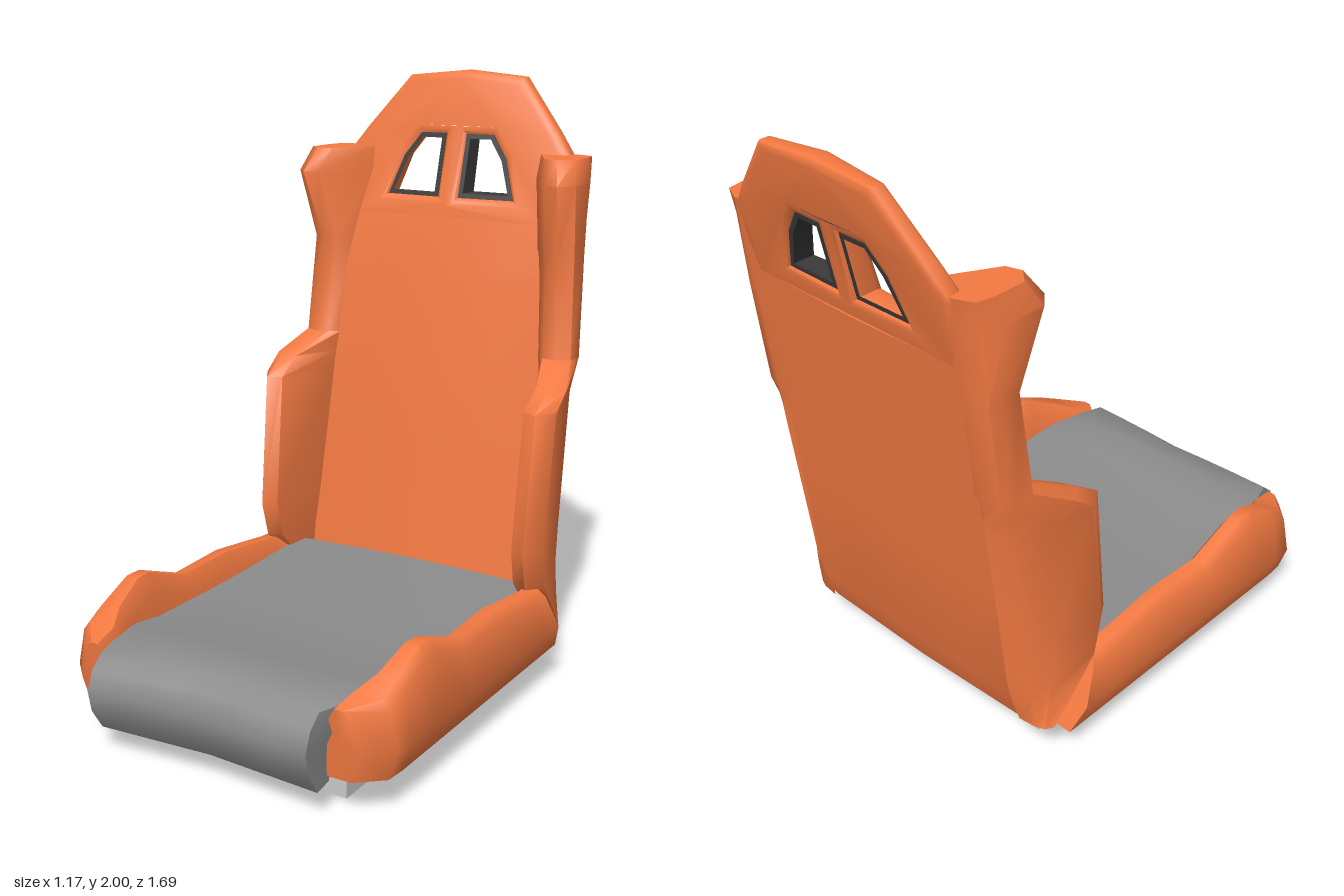
import * as THREE from 'three';
import { toCreasedNormals } from 'three/addons/utils/BufferGeometryUtils.js';

const orange = new THREE.MeshStandardMaterial({ color: 0xf47a42 });
const grey = new THREE.MeshStandardMaterial({ color: 0x8c8c8c });
const dark = new THREE.MeshStandardMaterial({ color: 0x3a3a3a });
const metal = new THREE.MeshStandardMaterial({ color: 0xcccccc });

// Closed skin over rings of [x, y, z], each ring counter-clockwise seen from the last ring
function loft(rows, crease = 0.9) {
  const n = rows[0].length, pos = rows.flat(2), index = [];
  for (let i = 0; i < rows.length - 1; i++)
    for (let j = 0; j < n; j++) {
      const a = i * n + j, b = i * n + (j + 1) % n;
      index.push(a, b, b + n, a, b + n, a + n);
    }
  [0, rows.length - 1].forEach((r, end) => {
    const c = pos.length / 3;
    for (let k = 0; k < 3; k++) pos.push(rows[r].reduce((s, p) => s + p[k], 0) / n);
    for (let j = 0; j < n; j++) {
      const a = r * n + j, b = r * n + (j + 1) % n;
      index.push(c, ...(end ? [a, b] : [b, a]));
    }
  });
  const g = new THREE.BufferGeometry();
  g.setAttribute('position', new THREE.Float32BufferAttribute(pos, 3));
  g.setIndex(index);
  return toCreasedNormals(g, crease);
}

const mirrorRows = rows => rows.map(r => r.map(([x, y, z]) => [-x, y, z]).reverse());
const toPoints = list => list.map(([x, y]) => new THREE.Vector2(x, y));

// Moves every vertex by a rule
function warp(g, rule) {
  const p = g.attributes.position;
  for (let i = 0; i < p.count; i++) p.setXYZ(i, ...rule(p.getX(i), p.getY(i), p.getZ(i)));
  return toCreasedNormals(g, 0.7);
}

// Front and back surfaces of the reclined backrest
const frontZ = y => (y < 1.3 ? -0.455 - 0.139 * (y - 0.33) : -0.59 - 0.2 * (y - 1.3) - 0.08 * Math.max(0, y - 1.5));
const backZ = y => (y < 0.28 ? -0.545 - 0.375 * (y - 0.16) : -0.59 - 0.127 * (y - 0.28));

export function createModel() {
  const group = new THREE.Group();
  const add = (name, geometry, material) => {
    const mesh = new THREE.Mesh(geometry, material);
    mesh.name = name;
    group.add(mesh);
    return mesh;
  };
  const box = (name, x, y, z, w, h, d, material) =>
    add(name, new THREE.BoxGeometry(w, h, d).translate(x, y, z), material);
  const pair = (name, rows) => {
    add('left' + name, loft(rows), orange);
    add('right' + name, loft(mirrorRows(rows)), orange);
  };

  // Backrest panel, with a shallow V crease below the head section
  const across = [-1, -0.5, 0, 0.5, 1];
  const panelRows = [0.16, 0.28, 0.75, 1.29, 1.5].map(y => {
    const lift = y === 1.29 ? 0.045 : 0;
    const w = 0.44;
    const front = across.map(t => [t * w, y + lift * Math.abs(t), frontZ(y) - 0.03 * Math.abs(t)]);
    const back = across.map(t => [-t * w, y, backZ(y) + 0.01 * Math.abs(t)]);
    return [...front, ...back];
  });
  add('backrestPanel', loft(panelRows, 0.6), orange);

  // Head section with two belt openings
  const half = [[0.43, 1.46], [0.43, 1.72], [0.37, 1.8], [0.22, 1.98]];
  const headShape = new THREE.Shape(toPoints([...half, [0, 2], ...half.map(([x, y]) => [-x, y]).reverse()]));
  const opening = (s, e) => toPoints([
    [0.055 - e, 1.587 - e], [0.222 + e * 1.3, 1.587 - e], [0.182 + e, 1.7 + e * 0.4],
    [0.132 + e * 0.5, 1.77 + e], [0.055 - e, 1.77 + e],
  ].map(([x, y]) => [s * x, y]));
  for (const s of [-1, 1]) headShape.holes.push(new THREE.Path(opening(s, 0.012)));
  const lean = (x, y, t) => {
    const a = Math.abs(x) / 0.44;
    const f = -0.63 - 0.28 * (y - 1.5) - 0.03 * a, b = -0.745 - 0.21 * (y - 1.5) + 0.01 * a;
    return [x, y, b + (f - b) * t];
  };
  const head = new THREE.ExtrudeGeometry(headShape, {
    depth: 0.5, bevelThickness: 0.25, bevelSize: 0.03, bevelOffset: -0.03, bevelSegments: 3, steps: 1,
  });
  add('headrest', warp(head, (x, y, z) => lean(x, y, z + 0.25)), orange);

  // Dark trims lining the openings
  for (const s of [-1, 1]) {
    const trim = new THREE.Shape(opening(s, 0.016));
    trim.holes.push(new THREE.Path(opening(s, 0)));
    const g = new THREE.ExtrudeGeometry(trim, { depth: 0.8, bevelEnabled: false });
    add(s > 0 ? 'leftOpeningTrim' : 'rightOpeningTrim', warp(g, (x, y, z) => lean(x, y, z + 0.1)), dark);
  }

  // Backrest side bolsters: height, inner x, outer x, front z, back z
  pair('BackBolster', [
    [0.16, 0.46, 0.54, -0.49, -0.545],
    [0.28, 0.45, 0.55, -0.36, -0.585],
    [0.36, 0.44, 0.555, -0.28, -0.6],
    [0.48, 0.43, 0.558, -0.25, -0.615],
    [0.94, 0.405, 0.565, -0.3, -0.675],
    [1.0, 0.4, 0.565, -0.39, -0.682],
    [1.07, 0.39, 0.52, -0.545, -0.69],
    [1.41, 0.355, 0.505, -0.58, -0.73],
    [1.65, 0.315, 0.53, -0.49, -0.765],
    [1.73, 0.32, 0.505, -0.545, -0.775],
  ].map(([y, xi, xo, zf, zb]) => {
    const d = zf - zb, inner = Math.min(frontZ(y) - 0.03, zf - d * 0.3);
    return [
      [xi, y, inner],
      [xo - 0.095, y, zf - d * 0.06],
      [xo - 0.045, y, zf],
      [xo, y, zf - d * 0.18],
      [Math.min(xo, 0.525), y, zb + d * 0.35],
      [0.495, y, zb + d * 0.12],
      [0.435, y, zb],
      [xi - 0.01, y, zb + d * 0.1],
    ];
  }));

  // Seat side bolsters: z, top height, inner x, outer x, slope of the end face
  pair('SeatBolster', [
    [-0.445, 0.345, 0.455, 0.585, 0.49],
    [-0.3, 0.348, 0.46, 0.585, 0.1],
    [0, 0.38, 0.46, 0.585, 0],
    [0.23, 0.37, 0.46, 0.585, 0],
    [0.42, 0.44, 0.46, 0.585, 0],
    [0.48, 0.44, 0.455, 0.585, 0],
    [0.6, 0.385, 0.435, 0.585, 0],
    [0.67, 0.35, 0.4, 0.58, 0],
    [0.74, 0.33, 0.39, 0.5, 0.08],
  ].map(([z, top, xi, xo, slope]) => [
    [xi, 0.11], [xo - 0.03, 0.11], [xo, 0.2], [xo - 0.025, top - 0.03],
    [xo - 0.05, top], [xi + 0.035, top], [xi, top - 0.06],
  ].map(([x, y]) => [x, y, z + slope * (y - 0.11)])));

  // Seat pan with front and rear cross members
  box('seatPan', 0, 0.185, 0.13, 0.94, 0.11, 1.12, orange);
  box('rearCrossMember', 0, 0.19, -0.43, 0.94, 0.16, 0.04, orange);
  box('frontCrossMember', 0, 0.16, 0.69, 0.8, 0.1, 0.06, orange);

  // Seat cushion with a narrower front roll
  const profile = new THREE.Shape(toPoints([
    [-0.43, 0.14], [0.72, 0.14], [0.73, 0.09], [0.79, 0.08], [0.835, 0.15], [0.85, 0.22], [0.825, 0.29],
    [0.78, 0.33], [0.66, 0.34], [0.55, 0.33], [0.42, 0.305], [0.1, 0.305], [-0.43, 0.32],
  ]));
  const cushion = new THREE.ExtrudeGeometry(profile, { depth: 2, steps: 6, bevelEnabled: false });
  add('seatCushion', warp(cushion, (z, y, e) => {
    const t = 1 - e;
    const w = THREE.MathUtils.lerp(0.465, 0.39, THREE.MathUtils.clamp((z - 0.55) / 0.1, 0, 1));
    const edge = y > 0.28 ? -0.01 * t * t : 0;
    return [t * w, y + edge, z - (z > 0.7 ? 0.025 * (1 - Math.abs(t)) : 0)];
  }), grey);

  // Floor rails
  for (const s of [-1, 1])
    box(s > 0 ? 'leftRail' : 'rightRail', s * 0.362, 0.065, 0.115, 0.075, 0.13, 1.07, metal);

  return group;
}
